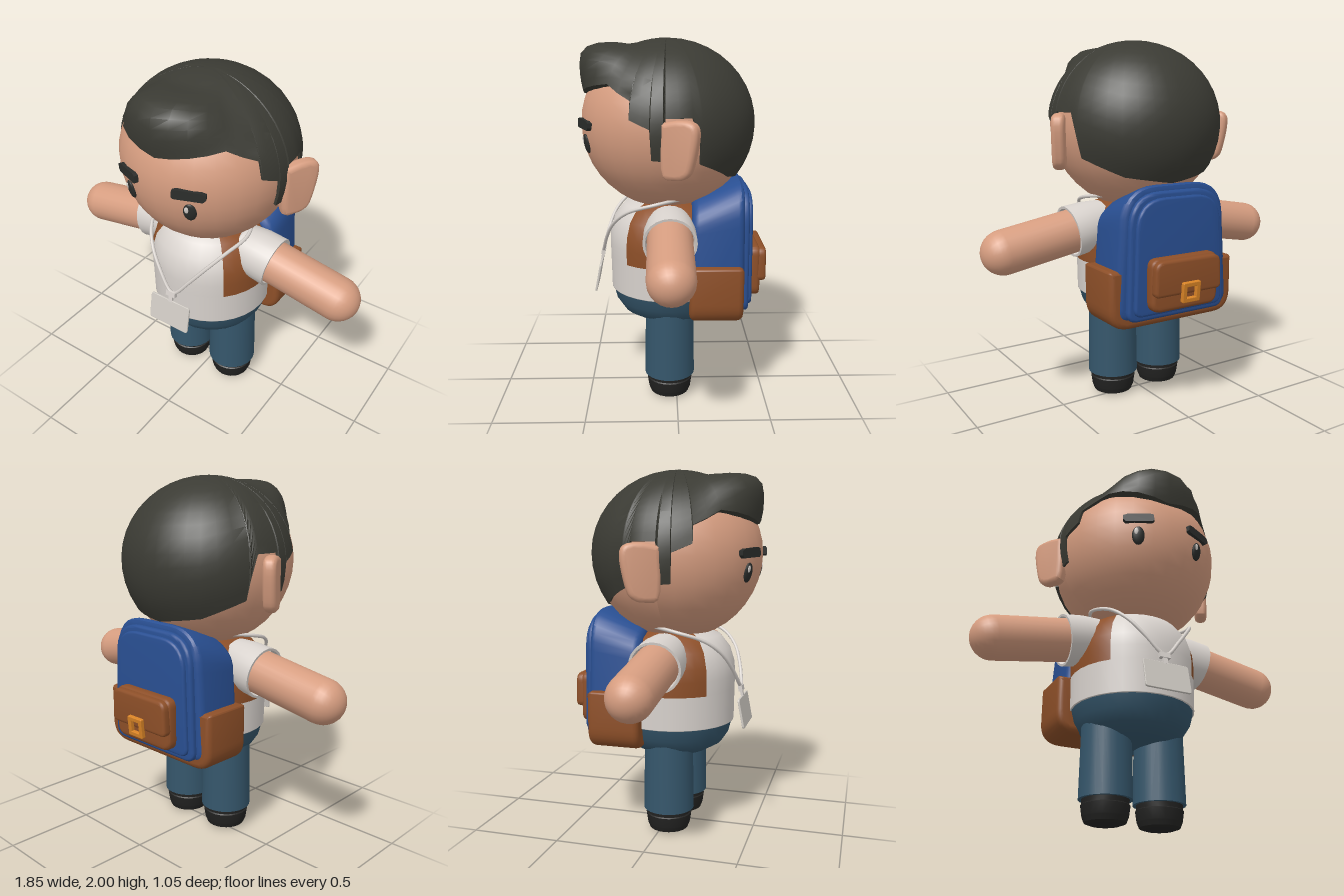
import * as THREE from 'three';
import { toCreasedNormals } from 'three/addons/utils/BufferGeometryUtils.js';

const mat = (name, color) => Object.assign(new THREE.MeshStandardMaterial({ color }), { name });
const V2 = (x, y) => new THREE.Vector2(x, y);
const V3 = (x, y, z) => new THREE.Vector3(x, y, z);

export function createModel() {
  const skin = mat('skin', 0xd69d80), hairMat = mat('hair', 0x3b3b34), dark = mat('eye dark', 0x2b2d2b);
  const white = mat('shirt white', 0xd8d2cd), brown = mat('leather brown', 0x8d4f28), blue = mat('pack blue', 0x294f92);
  const denim = mat('trouser blue', 0x35566b), black = mat('shoe black', 0x232322);
  const orange = mat('buckle orange', 0xd98426), cardMat = mat('card grey', 0xd0cbc4);

  const model = new THREE.Group();
  model.name = 'backpackCharacter';
  const add = (name, geo, material, parent = model) => {
    const m = new THREE.Mesh(geo, material);
    m.name = name;
    parent.add(m);
    return m;
  };
  const lathe = (pts, seg = 28, start = 0, len = Math.PI * 2) =>
    new THREE.LatheGeometry(pts.map(p => V2(p[0], p[1])), seg, start, len);

  // ---- head: ball with a slightly flattened crown ----
  const C = V3(0, 1.55, 0.05), R = 0.47, SQUASH = 0.935;
  const headGeo = new THREE.SphereGeometry(R, 28, 20);
  const hp = headGeo.attributes.position;
  for (let i = 0; i < hp.count; i++) if (hp.getY(i) > 0) hp.setY(i, hp.getY(i) * SQUASH);
  headGeo.computeVertexNormals();
  add('head', headGeo, skin).position.copy(C);

  // ---- hair: shell following a hairline of [degrees from front, height] ----
  const line = [[0, 1.71], [45, 1.77], [65.6, 1.7], [66.2, 1.61], [79, 1.565], [79.6, 1.41], [87, 1.405],
    [88.5, 1.62], [105, 1.62], [110, 1.485], [111, 1.385], [141, 1.29], [180, 1.25]];
  const half = [line[0]];
  for (let i = 1; i < line.length; i++) {
    const [a0, y0] = line[i - 1], [a1, y1] = line[i];
    const n = Math.ceil((a1 - a0) / 12);
    for (let k = 1; k <= n; k++) half.push([a0 + (a1 - a0) * k / n, y0 + (y1 - y0) * k / n]);
  }
  const cols = [...half.slice(1).reverse().map(([a, y]) => [-a, y]), ...half];
  const HR = 0.482, ROWS = 14, pos = [], idx = [];
  for (const [deg, y] of cols) {
    const az = deg * Math.PI / 180, dy = y - C.y;
    const end = Math.acos((dy > 0 ? dy / SQUASH : dy) / HR);
    for (let j = 0; j <= ROWS + 1; j++) {
      const th = end * Math.min(j, ROWS) / ROWS, el = 90 - th * 180 / Math.PI;
      // swept-up fringe above the forehead
      const lift = THREE.MathUtils.clamp(Math.min((el - 21) / 19, (67 - el) / 20), 0, 1);
      const r = j > ROWS ? 0.45 : HR + 0.126 * lift * Math.max(0, 1 - (deg / 50) ** 2);
      const h = r * Math.cos(th);
      pos.push(r * Math.sin(th) * Math.sin(az), h > 0 ? h * SQUASH : h, r * Math.sin(th) * Math.cos(az));
    }
  }
  const W = ROWS + 2;
  for (let i = 0; i < cols.length - 1; i++) for (let j = 0; j < W - 1; j++) {
    const a = i * W + j, d = a + W;
    if (j > 0) idx.push(a, a + 1, d);
    idx.push(a + 1, d + 1, d);
  }
  const hairGeo = new THREE.BufferGeometry();
  hairGeo.setAttribute('position', new THREE.Float32BufferAttribute(pos, 3));
  hairGeo.setIndex(idx);
  add('hair', toCreasedNormals(hairGeo, 0.7), hairMat).position.copy(C);

  // ---- face ----
  const onHead = (mesh, x, y, out = 0) => {
    const d = V3(x, y - C.y, 0);
    d.z = Math.sqrt(R * R - d.lengthSq());
    mesh.position.copy(C).addScaledVector(d, 1 + out / R);
    mesh.lookAt(mesh.position.clone().add(d));
    return mesh;
  };
  for (const s of [-1, 1]) {
    const eye = onHead(add('eye', new THREE.SphereGeometry(1, 16, 12), dark), s * 0.18, 1.458);
    eye.scale.set(0.034, 0.053, 0.014);
    const glint = onHead(add('eyeGlint', new THREE.SphereGeometry(1, 10, 8), white), s * 0.18 - 0.011, 1.478, 0.011);
    glint.scale.set(0.012, 0.02, 0.004);
    const b = new THREE.Shape([V2(-0.085, -0.012), V2(-0.07, -0.027), V2(0.075, -0.022), V2(0.085, -0.012),
      V2(0.082, 0.022), V2(0.06, 0.029), V2(-0.06, 0.022), V2(-0.085, 0.012)].map(p => V2(-s * p.x, p.y)));
    const browGeo = new THREE.ExtrudeGeometry(b, { depth: 0.03, bevelEnabled: false });
    browGeo.translate(0, 0, -0.017);
    onHead(add('eyebrow', browGeo, dark), s * 0.182, 1.56);
  }

  // ---- rounded slab helper: outline in x/y, spanning z0..z1 ----
  const outline = (wb, wt, y0, y1, rb, rt) => {
    const s = new THREE.Shape();
    s.moveTo(-wb + rb, y0).lineTo(wb - rb, y0);
    s.quadraticCurveTo(wb, y0, wb, y0 + rb).lineTo(wt, y1 - rt);
    s.quadraticCurveTo(wt, y1, wt - rt, y1).lineTo(-wt + rt, y1);
    s.quadraticCurveTo(-wt, y1, -wt, y1 - rt).lineTo(-wb, y0 + rb);
    s.quadraticCurveTo(-wb, y0, -wb + rb, y0);
    return s;
  };
  const slab = (shape, z0, z1, bevel) => {
    const g = new THREE.ExtrudeGeometry(shape, { depth: z1 - z0 - 2 * bevel, bevelEnabled: true, bevelSize: bevel,
      bevelThickness: bevel, bevelOffset: -bevel, bevelSegments: 3, curveSegments: 8 });
    g.translate(0, 0, z0 + bevel);
    return g;
  };
  const smooth = g => toCreasedNormals(g, 0.6);

  // ---- torso: white front and hem, brown waistcoat sides, denim hips ----
  const torso = new THREE.Group();
  torso.name = 'torso';
  torso.position.z = 0.03;
  model.add(torso);
  const chest = [[0.343, 0.8], [0.345, 0.88], [0.34, 0.95], [0.315, 1.03], [0.26, 1.1], [0.16, 1.14], [0.001, 1.15]];
  const A = Math.PI / 4;
  add('shirtFront', lathe(chest, 8, -A, 2 * A), white, torso);
  add('waistcoat', lathe(chest, 24, A, 6 * A), brown, torso);
  add('shirtHem', lathe([[0.3, 0.615], [0.34, 0.617], [0.34, 0.62], [0.343, 0.8]], 32), white, torso);
  add('hips', lathe([[0.001, 0.42], [0.1, 0.425], [0.2, 0.447], [0.275, 0.49], [0.315, 0.55], [0.334, 0.625]], 28), denim, torso);

  // ---- ears, arms and legs, mirrored ----
  const earShape = new THREE.Shape(new THREE.SplineCurve([V2(0, 0.13), V2(0.1, 0.148), V2(0.18, 0.135), V2(0.2, 0.07),
    V2(0.17, -0.08), V2(0.14, -0.13), V2(0.08, -0.148), V2(0, -0.12), V2(0, 0.13)]).getPoints(28));
  for (const s of [1, -1]) {
    const side = new THREE.Group();
    side.name = s > 0 ? 'leftSide' : 'rightSide';
    side.scale.x = s;
    model.add(side);

    const ear = add('ear', smooth(slab(earShape, -0.035, 0.035, 0.025)), skin, side);
    ear.position.set(0.45, 1.467, 0.075);
    ear.rotation.y = Math.PI / 3;

    // limb axis runs outwards and slightly down
    const arm = new THREE.Group();
    arm.name = 'arm';
    arm.position.set(0.2, 1.013, 0.04);
    arm.rotation.z = -Math.PI / 2 - 0.175;
    side.add(arm);
    add('forearm', new THREE.CapsuleGeometry(0.12, 0.5, 8, 24), skin, arm).position.y = 0.365;
    add('sleeve', smooth(lathe([[0.1, 0], [0.125, 0.02], [0.14, 0.12], [0.143, 0.23], [0.13, 0.23], [0.122, 0.2]], 24)), white, arm);

    const leg = new THREE.Group();
    leg.name = 'leg';
    leg.position.set(0.155, 0, 0.04);
    side.add(leg);
    add('trouserLeg', new THREE.CylinderGeometry(0.134, 0.141, 0.4, 24), denim, leg).position.y = 0.33;
    add('shoe', smooth(lathe([[0.001, 0], [0.08, 0.005], [0.108, 0.015], [0.118, 0.04], [0.12, 0.045], [0.128, 0.1],
      [0.122, 0.105], [0.125, 0.14]], 24)), black, leg);
  }

  // ---- lanyard with a hanging blank card ----
  const cord = [[0.015, 0.82, 0.415], [0.1, 0.92, 0.39], [0.18, 1.02, 0.345], [0.245, 1.095, 0.265], [0.29, 1.145, 0.12], [0.22, 1.17, -0.06]];
  const cordPts = [...cord.map(([x, y, z]) => V3(-x, y, z)).reverse(), ...cord.map(([x, y, z]) => V3(x, y, z))];
  add('lanyardCord', new THREE.TubeGeometry(new THREE.CatmullRomCurve3(cordPts), 56, 0.01, 6), white);
  const badge = new THREE.Group();
  badge.name = 'badge';
  badge.position.set(-0.005, 0.82, 0.415);
  badge.rotation.x = -0.19;
  model.add(badge);
  add('clip', new THREE.BoxGeometry(0.06, 0.03, 0.022), white, badge).position.y = -0.012;
  add('clipHook', new THREE.BoxGeometry(0.025, 0.045, 0.014), white, badge).position.y = -0.042;
  add('card', slab(outline(0.13, 0.13, -0.218, -0.055, 0.015, 0.015), -0.006, 0.006, 0.003), cardMat, badge);

  // ---- backpack ----
  const pack = new THREE.Group();
  pack.name = 'backpack';
  model.add(pack);
  const bodyGeo = slab(outline(0.36, 0.33, 0.54, 1.255, 0.08, 0.22), -0.36, -0.08, 0.035);
  const bp = bodyGeo.attributes.position;
  for (let i = 0; i < bp.count; i++) { // top slopes down towards the wearer
    const k = THREE.MathUtils.clamp((bp.getY(i) - 0.9) / 0.3, 0, 1);
    bp.setY(i, bp.getY(i) - k * (bp.getZ(i) + 0.34) * 0.38);
  }
  add('packBody', smooth(bodyGeo), blue, pack);
  add('packBase', smooth(slab(outline(0.395, 0.395, 0.5, 0.82, 0.12, 0.015), -0.355, -0.065, 0.03)), brown, pack);
  add('packPanelRim', smooth(slab(outline(0.31, 0.295, 0.545, 1.22, 0.06, 0.19), -0.388, -0.34, 0.015)), blue, pack);
  add('packPanel', smooth(slab(outline(0.28, 0.265, 0.575, 1.19, 0.05, 0.17), -0.408, -0.37, 0.012)), blue, pack);
  add('pocket', smooth(slab(outline(0.21, 0.21, 0.6, 0.885, 0.06, 0.05), -0.462, -0.39, 0.02)), brown, pack);
  add('pocketFlap', smooth(slab(outline(0.21, 0.205, 0.69, 0.878, 0.03, 0.05), -0.494, -0.44, 0.015)), brown, pack);
  const ring = outline(0.055, 0.055, -0.055, 0.055, 0.008, 0.008);
  ring.holes.push(new THREE.Path([V2(-0.03, -0.03), V2(-0.03, 0.03), V2(0.03, 0.03), V2(0.03, -0.03)]));
  const buckle = add('buckle', slab(ring, -0.012, 0.012, 0.004), orange, pack);
  buckle.position.set(0, 0.703, -0.502);
  buckle.rotation.x = -0.1;
  return model;
}
